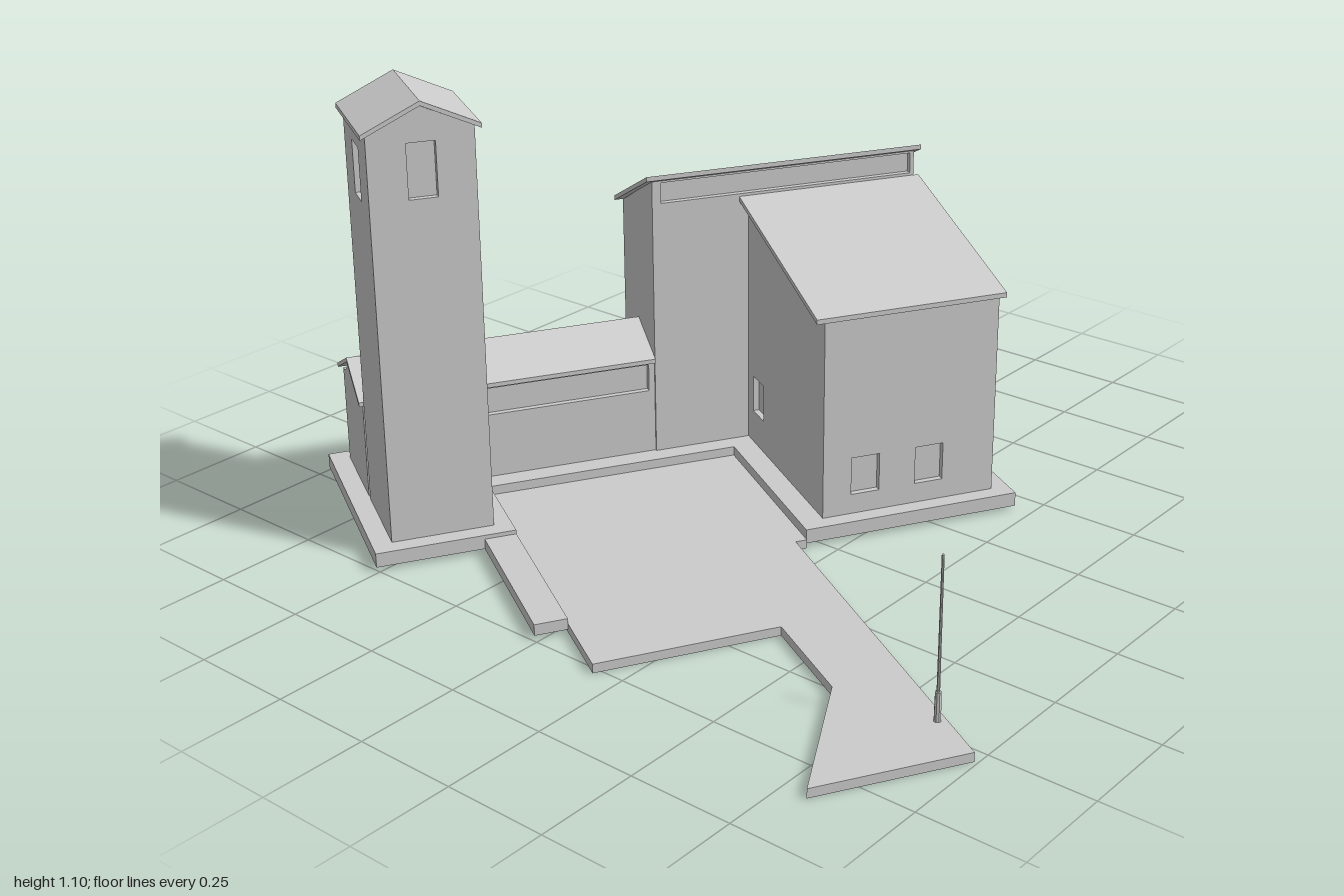
import * as THREE from 'three';

const material = new THREE.MeshStandardMaterial({ color: 0xcccccc, side: THREE.DoubleSide, flatShading: true });

function add(parent, name, geometry) {
  const mesh = new THREE.Mesh(geometry, material);
  mesh.name = name;
  parent.add(mesh);
  return mesh;
}

// Polygon, with optional rectangular holes [x0, y0, x1, y1]
function outline(points, holes = []) {
  const shape = new THREE.Shape(points.map(([x, y]) => new THREE.Vector2(x, y)));
  for (const [x0, y0, x1, y1] of holes) {
    shape.holes.push(new THREE.Path([[x0, y0], [x0, y1], [x1, y1], [x1, y0]].map((p) => new THREE.Vector2(...p))));
  }
  return shape;
}

const extrude = (shape, depth) => new THREE.ExtrudeGeometry(shape, { depth, bevelEnabled: false });
const rect = (x0, y0, x1, y1) => [[x0, y0], [x1, y0], [x1, y1], [x0, y1]];

// Section in (z, y) swept along x
function alongX(parent, name, section, x0, x1) {
  const g = extrude(outline(section.map(([z, y]) => [-z, y])), x1 - x0);
  return add(parent, name, g.rotateY(Math.PI / 2).translate(x0, 0, 0));
}

// Section in (x, y) swept along z
function alongZ(parent, name, section, z0, z1, holes) {
  return add(parent, name, extrude(outline(section, holes), z1 - z0).translate(0, 0, z0));
}

// Wall with openings facing -x; section in (z, y)
function leftWall(parent, name, section, x, depth, holes) {
  return add(parent, name, extrude(outline(section, holes), depth).rotateY(-Math.PI / 2).translate(x + depth, 0, 0));
}

// Flat slab from a plan in (x, z)
function slab(parent, name, plan, y0, y1) {
  const g = extrude(outline(plan.map(([x, z]) => [x, -z])), y1 - y0);
  return add(parent, name, g.rotateX(-Math.PI / 2).translate(0, y0, 0));
}

// Two-sided roof section: eave, ridge, eave with a constant thickness
const gable = (a, b, eave, ridge, t) => {
  const m = (a + b) / 2;
  return [[a, eave], [m, ridge], [b, eave], [b, eave - t], [m, ridge - t], [a, eave - t]];
};

const BASE = 0.045;
const REVEAL = 0.015;

function buildGround(site) {
  const ground = new THREE.Group();
  ground.name = 'ground';
  site.add(ground);
  slab(ground, 'plinth', [
    [-0.906, -0.629], [0.606, -0.629], [0.606, 0.179], [0.06, 0.179],
    [0.06, -0.306], [-0.574, -0.306], [-0.574, -0.063], [-0.906, -0.063],
  ], 0.01, BASE);
  slab(ground, 'courtyardAndPath', [
    [-0.574, -0.306], [0.059, -0.306], [0.059, 0.184], [0.031, 0.184], [0.031, 1.128],
    [-0.325, 1.126], [-0.137, 0.803], [-0.145, 0.537], [-0.574, 0.541],
  ], 0, 0.022);
  slab(ground, 'sideStep', rect(-0.65, -0.063, -0.574, 0.36), 0.008, 0.035);
}

function buildTower(site) {
  const tower = new THREE.Group();
  tower.name = 'tower';
  site.add(tower);
  const [x0, x1, z0, z1] = [-0.859, -0.616, -0.346, -0.106];
  const mid = (x0 + x1) / 2;
  const eave = 1.025;
  const body = (a) => [[a, BASE], [x1, BASE], [x1, eave], [mid, 1.082], [a, eave], [a, BASE + 0.01]];
  alongZ(tower, 'towerBody', body(x0 + REVEAL), z0, z1 - REVEAL);
  alongZ(tower, 'towerFrontWall', body(x0), z1 - REVEAL, z1, [[mid - 0.033, 0.87, mid + 0.033, 1.0]]);
  const zm = (z0 + z1) / 2;
  leftWall(tower, 'towerSideWall', rect(z0, BASE, z1 - REVEAL, eave), x0, REVEAL, [[zm - 0.033, 0.85, zm + 0.033, 0.975]]);
  alongZ(tower, 'towerRoof', gable(x0 - 0.013, x1 + 0.013, 1.032, 1.096, 0.011), z0 - 0.013, z1 + 0.013);
}

function buildWing(site) {
  const wing = new THREE.Group();
  wing.name = 'lowWing';
  site.add(wing);
  const [x0, x1, z0, z1] = [-0.859, -0.13, -0.592, -0.36];
  const mid = (z0 + z1) / 2;
  alongX(wing, 'wingBody', [
    [z0 + REVEAL, BASE], [z1 - REVEAL, BASE], [z1 - REVEAL, 0.288], [mid, 0.35], [z0 + REVEAL, 0.288],
  ], x0, x1);
  // Long strip windows front and back
  alongZ(wing, 'wingBackWall', rect(x0, BASE, x1, 0.29), z0, z0 + REVEAL, [[-0.83, 0.21, -0.15, 0.275]]);
  alongZ(wing, 'wingFrontWall', rect(x0, BASE, x1, 0.29), z1 - REVEAL, z1, [[-0.6, 0.21, -0.145, 0.28]]);
  alongX(wing, 'wingRoof', gable(-0.606, -0.348, 0.298, 0.363, 0.011), -0.87, -0.131);

  // Raised ridge lantern
  const zc = -0.473;
  alongX(wing, 'lanternBody', [
    [zc - 0.03, 0.33], [zc + 0.03, 0.33], [zc + 0.03, 0.393], [zc, 0.408], [zc - 0.03, 0.393],
  ], -0.793, -0.576);
  alongX(wing, 'lanternRoof', gable(zc - 0.043, zc + 0.043, 0.395, 0.417, 0.008), -0.807, -0.562);
}

function buildHouse(site) {
  const house = new THREE.Group();
  house.name = 'house';
  site.add(house);
  const [x0, xm, x1] = [-0.13, 0.118, 0.561];
  const [back, split, front] = [-0.59, -0.355, 0.138];

  // Tall rear block with a clerestory strip
  alongX(house, 'rearBlock', [
    [back, BASE], [split - REVEAL, BASE], [split - REVEAL, 0.752], [back, 0.638],
  ], x0, x1);
  alongZ(house, 'clerestoryWall', rect(x0, BASE, x1, 0.757), split - REVEAL, split, [[-0.107, 0.7, 0.551, 0.752]]);
  alongX(house, 'rearRoof', [[-0.606, 0.633], [-0.606, 0.645], [-0.343, 0.775], [-0.343, 0.763]], -0.147, 0.575);

  // Lower front block
  const top = (z) => 0.547 - (z - front) * 0.272;
  alongX(house, 'frontBlock', [
    [split, BASE], [front - REVEAL, BASE], [front - REVEAL, top(front - REVEAL)], [split, top(split)],
  ], xm + REVEAL, x1);
  alongZ(house, 'frontWall', rect(xm, BASE, x1, 0.547), front - REVEAL, front,
    [0.19, 0.355].map((x) => [x, 0.095, x + 0.072, 0.19]));
  leftWall(house, 'courtyardWall', [
    [split, BASE], [front - REVEAL, BASE], [front - REVEAL, top(front - REVEAL)], [split, top(split)],
  ], xm, REVEAL, [[-0.32, 0.13, -0.25, 0.225]]);
  alongX(house, 'frontRoof', [[0.148, 0.546], [0.148, 0.558], [split, 0.693], [split, 0.681]], 0.094, 0.575);
}

function buildMast(site) {
  const mast = new THREE.Group();
  mast.name = 'mast';
  mast.position.set(0.011, 0.02, 0.998);
  site.add(mast);
  add(mast, 'mastFoot', new THREE.CylinderGeometry(0.007, 0.008, 0.07, 8).translate(0, 0.035, 0));
  add(mast, 'mastPole', new THREE.CylinderGeometry(0.003, 0.004, 0.38, 8).translate(0, 0.19, 0));
}

export function createModel() {
  const model = new THREE.Group();
  model.name = 'farmstead';
  // The whole site is turned 30 degrees
  const site = new THREE.Group();
  site.name = 'site';
  site.rotation.y = -Math.PI / 6;
  model.add(site);
  for (const build of [buildGround, buildTower, buildWing, buildHouse, buildMast]) build(site);
  return model;
}
